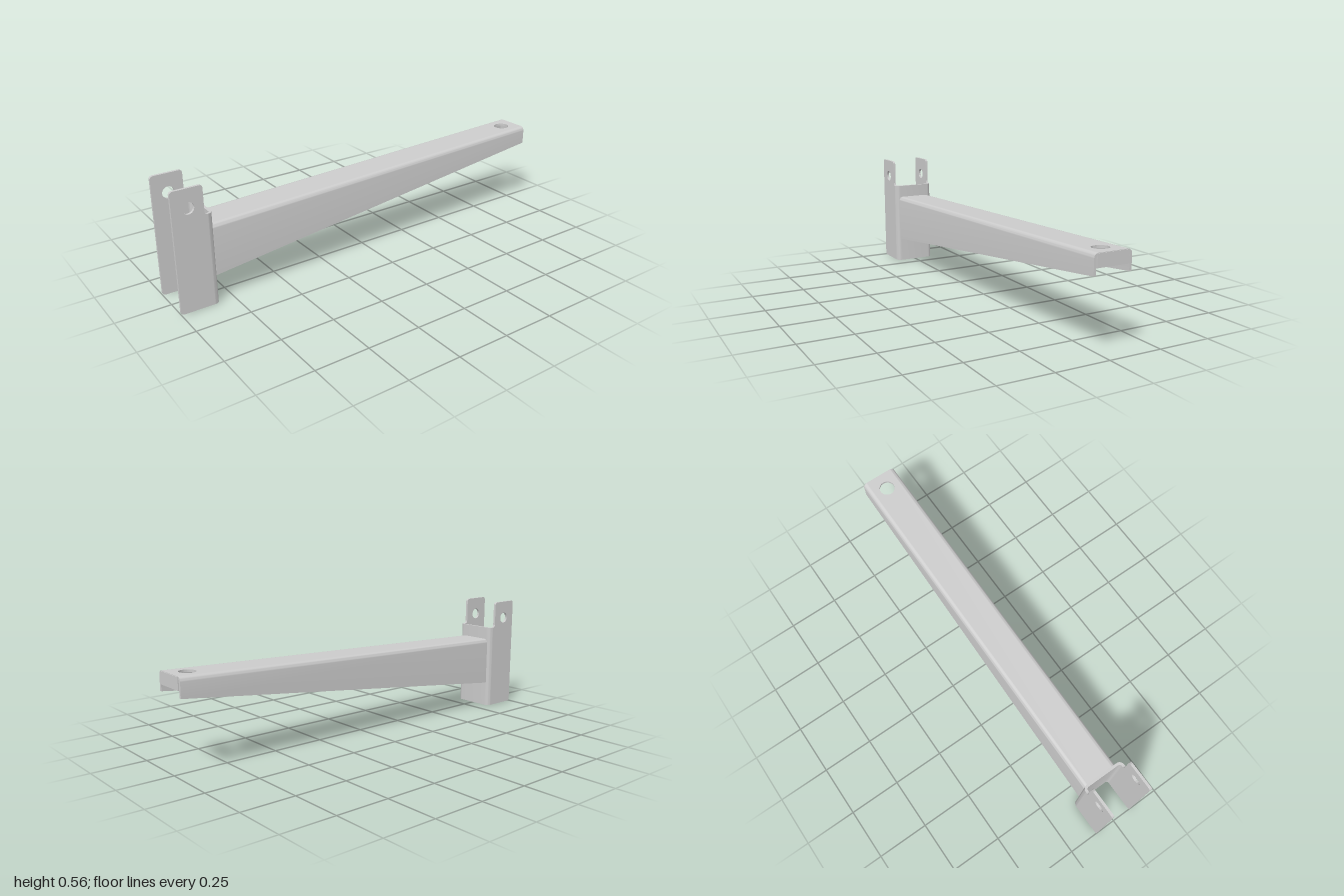
import * as THREE from 'three';
import { toCreasedNormals } from 'three/addons/utils/BufferGeometryUtils.js';

const material = new THREE.MeshStandardMaterial({ color: 0xcccccc });
const T = 0.011;                       // sheet thickness
const FRONT = 0.82, BACK = -0.997;     // arm ends
const W = 0.088, R = 0.02;             // arm half width and bend radius
const along = (z, a, b) => a + (b - a) * (FRONT - z) / (FRONT + 1);
const topY = z => along(z, 0.365, 0.43);
const bottomY = z => along(z, 0.126, 0.342);

function part(name, geometry) {
  const mesh = new THREE.Mesh(toCreasedNormals(geometry, 0.6), material);
  mesh.name = name;
  return mesh;
}

// Points of a quarter bend
function arc(cx, cy, r, a0, a1, n = 6) {
  return Array.from({ length: n + 1 }, (_, i) => {
    const a = a0 + (a1 - a0) * i / n;
    return [cx + r * Math.cos(a), cy + r * Math.sin(a)];
  });
}

// Solid between two matching sections, counter-clockwise seen from +z
function loft(section, zFront, zBack) {
  const a = section(zFront), b = section(zBack), pos = [];
  const put = (...pts) => pts.forEach(p => pos.push(...p));
  const A = a.map(p => [...p, zFront]), B = b.map(p => [...p, zBack]);
  A.forEach((_, i) => {
    const j = (i + 1) % A.length;
    put(A[i], B[i], B[j], A[i], B[j], A[j]);
  });
  const caps = THREE.ShapeUtils.triangulateShape(a.map(p => new THREE.Vector2(...p)), []);
  for (const [i, j, k] of caps) put(A[i], A[j], A[k], B[k], B[j], B[i]);
  const g = new THREE.BufferGeometry();
  g.setAttribute('position', new THREE.Float32BufferAttribute(pos, 3));
  return g;
}

const mirrored = section => z => section(z).map(([x, y]) => [-x, y]).reverse();

function hole(x, y, r) {
  const path = new THREE.Path();
  path.absarc(x, y, r, 0, Math.PI * 2, true);
  return path;
}

function createArm() {
  const arm = new THREE.Group();
  arm.name = 'arm';

  // Side walls with the bend into the top
  const wall = z => {
    const t = topY(z), b = bottomY(z), h = Math.PI / 2;
    return [[W, b], ...arc(W - R, t - R, R, 0, h), ...arc(W - R, t - R, R - T, h, 0), [W - T, b]];
  };
  arm.add(part('armLeftWall', loft(wall, FRONT, BACK)));
  arm.add(part('armRightWall', loft(mirrored(wall), FRONT, BACK)));

  // Sloping top with a bolt hole
  const w = W - R, s = new THREE.Shape();
  s.moveTo(-w, BACK).lineTo(w, BACK).lineTo(w, FRONT).lineTo(-w, FRONT).closePath();
  s.holes.push(hole(0, -0.917, 0.037));
  const top = new THREE.ExtrudeGeometry(s, { depth: T, bevelEnabled: false, curveSegments: 32 });
  top.rotateX(Math.PI / 2);
  const p = top.attributes.position;
  for (let i = 0; i < p.count; i++) p.setY(i, p.getY(i) + topY(p.getZ(i)));
  arm.add(part('armTop', top));

  // Short flap folded down at the tip
  const flap = new THREE.BoxGeometry(2 * (W - T) - 0.006, 0.056, T);
  flap.translate(0, 0.43 - 0.03, -1 + T / 2);
  arm.add(part('endFlap', flap));

  // Closing plate under the thick half, with upturned edges
  const o = W - T, lip = 0.035, t = 0.009;
  const tray = z => {
    const y = bottomY(z) + 0.004;
    return [
      ...arc(-o + 0.012, y + 0.012, 0.012, Math.PI, Math.PI * 1.5, 3),
      ...arc(o - 0.012, y + 0.012, 0.012, -Math.PI / 2, 0, 3),
      [o, y + lip], [o - t, y + lip], [o - t, y + t], [-o + t, y + t], [-o + t, y + lip], [-o, y + lip],
    ];
  };
  arm.add(part('undersidePlate', loft(tray, FRONT, -0.1)));
  return arm;
}

function createBracket() {
  const bracket = new THREE.Group();
  bracket.name = 'mountingBracket';
  const X = 0.105, t = 0.012, r = 0.024, zb = 0.82, zs = zb + r, H = 0.427;

  // Web with the two bends
  const pts = [
    ...arc(-X + r, zs, r, Math.PI, Math.PI * 1.5), ...arc(X - r, zs, r, -Math.PI / 2, 0),
    ...arc(X - r, zs, r - t, 0, -Math.PI / 2), ...arc(-X + r, zs, r - t, Math.PI * 1.5, Math.PI),
  ];
  const u = new THREE.Shape(pts.map(q => new THREE.Vector2(...q)));
  const web = new THREE.ExtrudeGeometry(u, { depth: H, bevelEnabled: false });
  web.rotateX(Math.PI / 2).translate(0, H, 0);
  bracket.add(part('web', web));

  // Cheeks with tall drilled ears
  const c = 0.016, ear = 0.858, tall = 0.56;
  const s = new THREE.Shape();
  s.moveTo(zs, 0).lineTo(1 - c, 0).quadraticCurveTo(1, 0, 1, c);
  s.lineTo(1, tall - c).quadraticCurveTo(1, tall, 1 - c, tall);
  s.lineTo(ear + c, tall).quadraticCurveTo(ear, tall, ear, tall - c);
  s.lineTo(ear, H + 0.014).quadraticCurveTo(ear, H, zs, H).closePath();
  s.holes.push(hole(0.927, 0.473, 0.027));
  for (const [name, x] of [['leftCheek', X], ['rightCheek', -X + t]]) {
    const g = new THREE.ExtrudeGeometry(s, { depth: t, bevelEnabled: false, curveSegments: 24 });
    g.rotateY(-Math.PI / 2).translate(x, 0, 0);
    bracket.add(part(name, g));
  }
  return bracket;
}

export function createModel() {
  const model = new THREE.Group();
  model.name = 'cantileverArm';
  model.add(createBracket(), createArm());
  return model;
}
